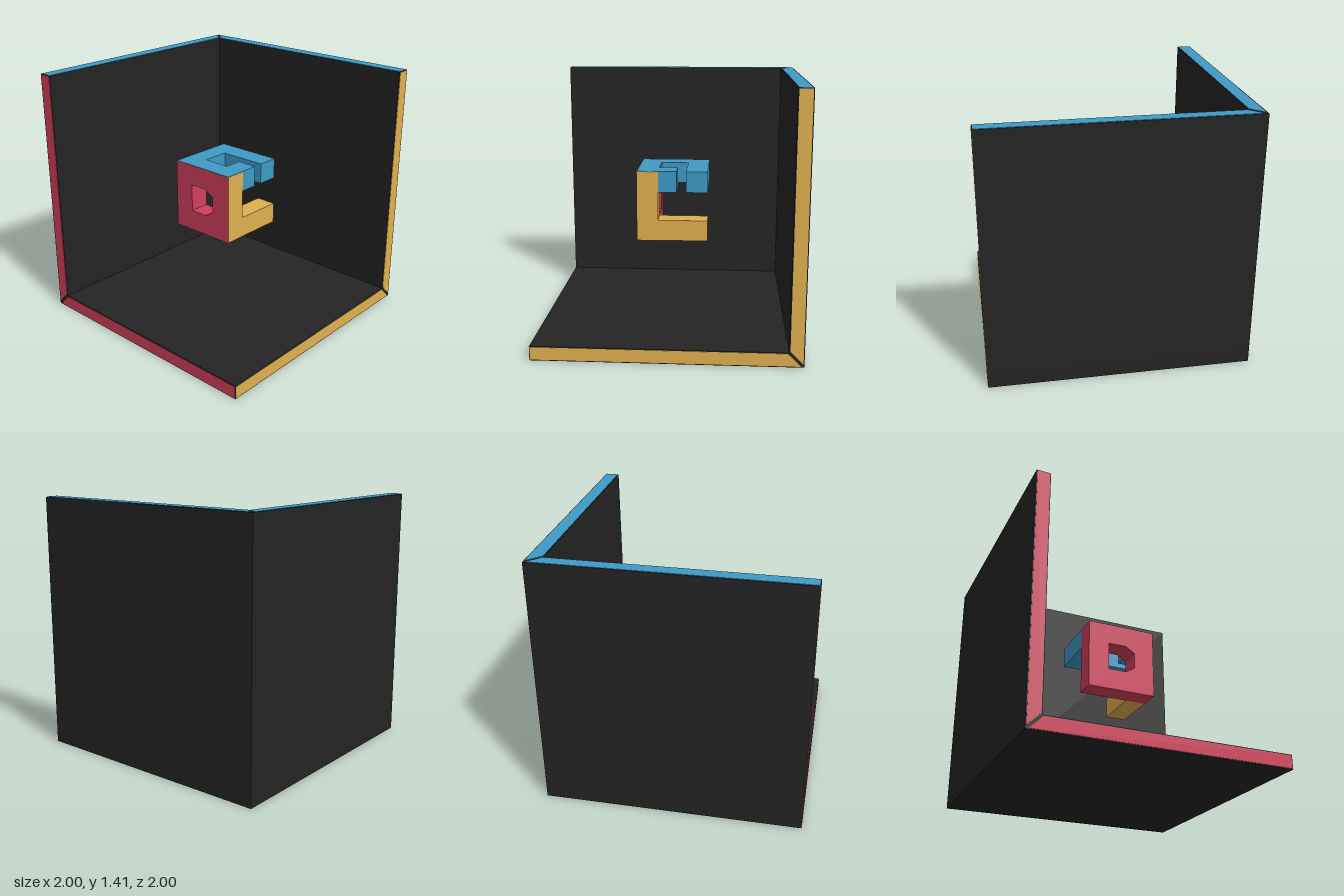
import * as THREE from 'three';

const H = Math.SQRT2;   // side of the large open cube
const T = 0.078;        // thickness of its panels
const S = 0.197;        // half side of the small cube
const I = 0.078;        // half side of its openings
const F = S - 0.002;    // slightly recessed edge, so each slab shows its own outer face
const SKIN = 0.002;     // how far the coloured rims stand proud

const X = new THREE.Vector3(1, 0, 0);
const Y = new THREE.Vector3(0, 1, 0);
const Z = new THREE.Vector3(0, 0, 1);

const material = (color) => new THREE.MeshStandardMaterial({ color });
const dark = material(0x242424);

// The three visible directions: plane axes a and b, and the outward normal n
const SIDES = [
  { name: 'left', mat: material(0xd2405a), a: X, b: Y, n: Z },
  { name: 'right', mat: material(0xe0b04f), a: Y, b: Z, n: X },
  { name: 'top', mat: material(0x3f9ac6), a: Z, b: X, n: Y },
];

const shapeOf = (points) => new THREE.Shape(points.map(([x, y]) => new THREE.Vector2(x, y)));

function addMesh(parent, name, geometry, mat) {
  const mesh = new THREE.Mesh(geometry, mat);
  mesh.name = name;
  parent.add(mesh);
  return mesh;
}

function addPanel(parent, name, min, max) {
  const size = max.map((m, i) => m - min[i]);
  const mesh = addMesh(parent, name, new THREE.BoxGeometry(...size), dark);
  mesh.position.set(...max.map((m, i) => (m + min[i]) / 2));
}

// Floor and two back walls
function openCube() {
  const g = new THREE.Group();
  g.name = 'openCube';
  const h = H / 2;
  const f = h - SKIN;
  const top = H - SKIN;
  addPanel(g, 'floor', [-h, 0, -h], [f, T, f]);
  addPanel(g, 'leftWall', [-h, T, -h], [-h + T, top, f]);
  addPanel(g, 'rightWall', [-h + T, T, -h], [f, top, -h + T]);

  // Coloured rims: two strips per side, mitred at the shared corner
  const e = 0.005;
  const gap = 0.012;
  const strip = [[e + gap, e], [H - e, e], [H - e, T - e], [T - e + gap, T - e]];
  const mirrored = strip.map(([x, y]) => [y, x]).reverse();
  for (const { name, mat, a, b, n } of SIDES) {
    [strip, mirrored].forEach((points) => {
      const geo = new THREE.ExtrudeGeometry(shapeOf(points), { depth: SKIN, bevelEnabled: false });
      geo.translate(0, 0, H - SKIN);
      geo.applyMatrix4(new THREE.Matrix4().makeBasis(a, b, n));
      geo.translate(-h, 0, -h);
      addMesh(g, name + 'Rim', geo, mat);
    });
  }
  return g;
}

// Small cube made of three cut-out slabs
function smallCube() {
  const g = new THREE.Group();
  g.name = 'smallCube';
  g.position.y = H / 2;

  // Left slab: closed frame whose opening has two clipped corners
  const left = shapeOf([[-S, -S], [F, -S], [F, F], [-S, F]]);
  left.holes.push(shapeOf([
    [-I, -I], [-I, I], [0.026, I], [I, 0.046], [I, -0.046], [0.026, -I],
  ]));

  // Right slab: upright and bottom bar
  const right = shapeOf([
    [-F, F], [-F, -S], [-I - 0.001, -S], [-I - 0.001, I], [F, I], [F, F],
  ]);

  // Top slab: square ring with a slot
  const top = shapeOf([
    [-I, F], [-S, F], [-S, -F], [F, -F], [F, F],
    [-0.025, F], [-0.025, I], [I, I], [I, -I], [-I, -I],
  ]);

  const start = I + 0.002;
  [left, right, top].forEach((shape, i) => {
    const { name, mat, a, b, n } = SIDES[i];
    const geo = new THREE.ExtrudeGeometry(shape, { depth: S - start, bevelEnabled: false });
    geo.translate(0, 0, start);
    geo.applyMatrix4(new THREE.Matrix4().makeBasis(a, b, n));
    addMesh(g, name + 'Slab', geo, mat);
  });
  return g;
}

export function createModel() {
  const model = new THREE.Group();
  model.name = 'nestedCubes';
  // Turned so that a vertical edge faces the front
  const turned = new THREE.Group();
  turned.name = 'turnedCubes';
  turned.rotation.y = -Math.PI / 4;
  turned.add(openCube(), smallCube());
  model.add(turned);
  return model;
}
